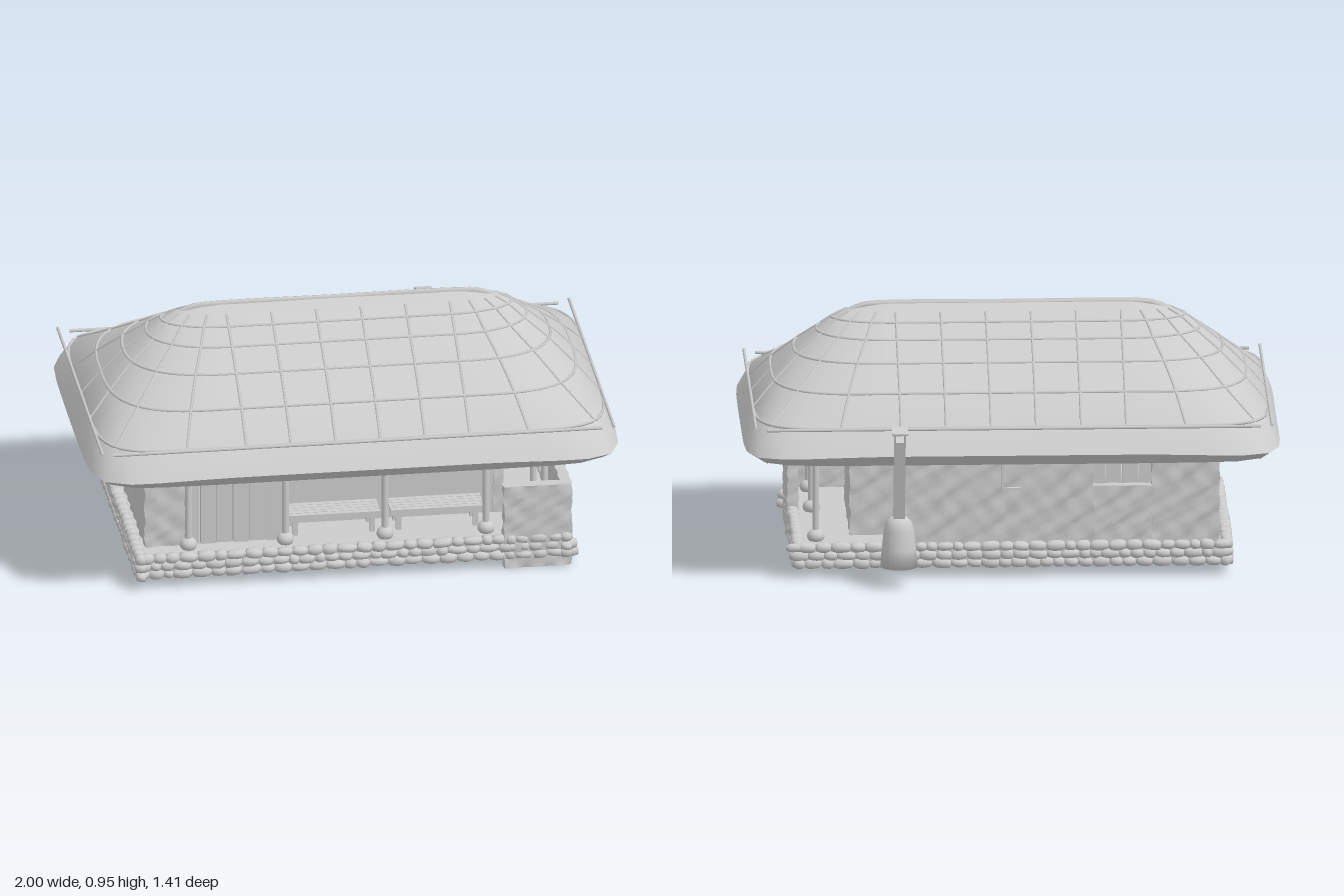
import * as THREE from 'three';
import { mergeGeometries, toCreasedNormals } from 'three/addons/utils/BufferGeometryUtils.js';

const V = (x, y, z) => new THREE.Vector3(x, y, z);
const ZC = 0.045; // z of the ridge and of the platform centre

// Roof levels from ridge to eave, then back up inside:
// [y, half length, half width, corner squareness, sag at the ends]
const LEVELS = [
  [0.935, 0.56, 0.010, 2, 0.015], [0.91, 0.61, 0.055, 2, 0], [0.885, 0.66, 0.11, 2, 0],
  [0.84, 0.715, 0.195, 2.2, 0], [0.78, 0.80, 0.31, 2.5, 0.01], [0.70, 0.885, 0.45, 3.2, 0.015],
  [0.60, 0.96, 0.58, 6, 0], [0.51, 1.0, 0.655, 8, 0.025], [0.465, 0.97, 0.61, 8, -0.005],
  [0.53, 0.90, 0.53, 7, 0], [0.62, 0.84, 0.46, 5, 0], [0.70, 0.77, 0.35, 3.5, 0],
  [0.80, 0.66, 0.20, 2.5, 0], [0.89, 0.52, 0.01, 2, 0],
];
const HALF = 0.42, ARC = 12, RUN = 10;

// One roof level as a loop of points: straight long sides, rounded hip ends
function roofRing([y, a, b, n, sag]) {
  const pts = [];
  const arc = (start) => {
    for (let i = 0; i < ARC; i++) {
      const p = start + (i / ARC) * Math.PI / 2, c = Math.cos(p), s = Math.sin(p);
      const r = Math.pow(Math.abs(c) ** n + Math.abs(s) ** n, -1 / n);
      const side = start === 0 || start > 4 ? 1 : -1;
      pts.push(V(side * HALF + (a - HALF) * r * c, y - sag * c * c, ZC + b * r * s));
    }
  };
  const run = (dir) => {
    for (let i = 0; i < RUN; i++) pts.push(V(dir * HALF * (1 - 2 * i / RUN), y, ZC + dir * b));
  };
  arc(0); run(1); arc(Math.PI / 2); arc(Math.PI); run(-1); arc(Math.PI * 1.5);
  return pts;
}

// Skin over a stack of closed loops
function loft(rings) {
  const n = rings[0].length, pos = [], idx = [];
  rings.forEach((r) => r.forEach((p) => pos.push(p.x, p.y, p.z)));
  for (let j = 0; j < rings.length - 1; j++) for (let i = 0; i < n; i++) {
    const k = (i + 1) % n, a = j * n + i, b = j * n + k;
    idx.push(a, b, a + n, b, b + n, a + n);
  }
  const g = new THREE.BufferGeometry();
  g.setAttribute('position', new THREE.Float32BufferAttribute(pos, 3));
  g.setIndex(idx);
  return toCreasedNormals(g, 0.8);
}

const tube = (pts, r, closed = false, seg = pts.length * 2) =>
  new THREE.TubeGeometry(new THREE.CatmullRomCurve3(pts, closed), seg, r, 5, closed);

// Round pole between two points
function pole(a, b, r, sides = 10) {
  const g = new THREE.CylinderGeometry(r, r, a.distanceTo(b), sides);
  g.applyQuaternion(new THREE.Quaternion().setFromUnitVectors(V(0, 1, 0), b.clone().sub(a).normalize()));
  return g.translate((a.x + b.x) / 2, (a.y + b.y) / 2, (a.z + b.z) / 2);
}

// Box given by its limits
const box = (x0, x1, y0, y1, z0, z1, sx = 1, sy = 1, sz = 1) =>
  new THREE.BoxGeometry(x1 - x0, y1 - y0, z1 - z0, sx, sy, sz)
    .translate((x0 + x1) / 2, (y0 + y1) / 2, (z0 + z1) / 2);

// Box with an uneven plastered surface
function roughBox(x0, x1, y0, y1, z0, z1) {
  const div = (d) => Math.max(1, Math.round(d / 0.02));
  const g = box(x0, x1, y0, y1, z0, z1, div(x1 - x0), div(y1 - y0), div(z1 - z0));
  const p = g.attributes.position;
  for (let i = 0; i < p.count; i++) {
    const x = p.getX(i), y = p.getY(i), z = p.getZ(i);
    const f = Math.sin(x * 71 + 2 * Math.sin(y * 53)) * Math.sin(y * 83 + z * 31) + Math.sin(z * 77 + 2 * Math.sin(y * 61 + x * 40));
    p.setX(i, x + 0.003 * f);
    p.setZ(i, z + 0.003 * Math.sin(x * 67 + 2 * Math.sin(y * 59)) + 0.002 * f);
  }
  g.computeVertexNormals();
  return g;
}

export function createModel() {
  const model = new THREE.Group();
  const mat = new THREE.MeshStandardMaterial({ color: 0xcccccc });
  const add = (name, ...geos) => {
    const mesh = new THREE.Mesh(geos.length > 1 ? mergeGeometries(geos) : geos[0], mat);
    mesh.name = name;
    model.add(mesh);
  };
  let seed = 7;
  const rnd = () => (seed = (seed * 16807) % 2147483647) / 2147483647;

  // Thatched roof shell
  const rings = LEVELS.map(roofRing);
  const count = rings[0].length;
  add('thatchRoof', loft(rings));

  // Pole lattice on the thatch
  const lattice = [2, 3, 4, 5, 6].map((j) => tube(rings[j], 0.006, true));
  for (let i = 0; i < count; i++) {
    const q = i % (count / 2); // hip end quarter, long side, next quarter
    const onHip = q < ARC ? q % 3 === 0 : q >= ARC + RUN && (q - ARC - RUN) % 3 === 0;
    const onSide = q >= ARC && q < ARC + RUN && (q - ARC) % 2 === 0;
    if (onHip || onSide) lattice.push(tube(rings.slice(1, 7).map((r) => r[i]), 0.0055));
  }
  for (const s of [-1, 1]) {
    lattice.push(pole(V(-0.92, 0.597, ZC + s * 0.585), V(0.92, 0.597, ZC + s * 0.585), 0.006, 6));
    lattice.push(pole(V(s * 0.962, 0.605, ZC - 0.6), V(s * 0.962, 0.605, ZC + 0.6), 0.006, 6));
  }
  add('roofLattice', ...lattice);

  // Ridge roll
  add('ridgeCap', tube([V(-0.59, 0.905, ZC), V(-0.54, 0.925, ZC), V(-0.46, 0.931, ZC), V(0, 0.931, ZC),
    V(0.46, 0.931, ZC), V(0.54, 0.925, ZC), V(0.59, 0.905, ZC)], 0.014, false, 40));

  // Rafters and battens under the thatch
  const under = [9, 10, 11, 12].map((j) => tube(rings[j], 0.007, true));
  for (let j = 9; j < 11; j++) for (const t of [0.33, 0.67])
    under.push(tube(rings[j].map((p, i) => p.clone().lerp(rings[j + 1][i], t)), 0.005, true));
  for (let i = 0; i < count; i += 2) under.push(tube(rings.slice(8).map((r) => r[i]), 0.007));
  add('rafters', ...under);

  // Platform edged with three courses of field stones
  add('platform', box(-0.80, 0.80, 0.035, 0.115, -0.42, 0.51));
  const stones = [];
  const stone = (x, y, z, rx, ry, rz) => {
    const g = new THREE.SphereGeometry(1, 9, 6);
    const p = g.attributes.position;
    for (let i = 0; i < p.count; i++) { // squared-off pebble
      const v = V().fromBufferAttribute(p, i);
      const k = Math.pow(v.x ** 4 + v.y ** 4 + v.z ** 4, -0.25) * 0.94;
      p.setXYZ(i, v.x * k, v.y * k, v.z * k);
    }
    g.scale(rx, ry, rz).rotateZ((rnd() - 0.5) * 0.25).rotateX((rnd() - 0.5) * 0.25);
    g.computeVertexNormals();
    stones.push(g.translate(x, y, z));
  };
  for (let row = 0; row < 3; row++) {
    const y = 0.052 + row * 0.031;
    for (const s of [-1, 1]) {
      for (const [len, alongX] of [[0.81, true], [0.47, false]]) {
        for (let t = -len; t < len;) {
          const w = 0.035 + rnd() * 0.04, c = Math.min(t + w / 2, len), r = w / 2 + 0.003;
          const h = 0.016 + rnd() * 0.005, d = 0.021 + rnd() * 0.006;
          if (alongX) stone(c, y, ZC + s * 0.462, r, h, d);
          else stone(s * 0.80, y, ZC + c, d, h, r);
          t += w;
        }
      }
    }
  }
  add('edgeStones', ...stones);

  // Plastered walls, with an inset rear corner and an opening at the back
  const Y0 = 0.11, Y1 = 0.5;
  add('plasterWalls',
    roughBox(-0.77, -0.73, Y0, Y1, -0.40, 0.40),
    roughBox(-0.77, -0.62, Y0, Y1, 0.36, 0.40),
    roughBox(-0.77, -0.52, Y0, Y1, -0.41, -0.37),
    roughBox(-0.52, -0.30, Y0, 0.34, -0.41, -0.37),
    roughBox(-0.30, 0.42, Y0, Y1, -0.41, -0.37),
    roughBox(0.38, 0.42, Y0, Y1, -0.40, -0.21),
    roughBox(0.38, 0.60, Y0, Y1, -0.24, -0.20),
    roughBox(0.56, 0.60, Y0, Y1, -0.23, 0.26));

  // Small framed windows at the side and back
  const frame = [];
  for (const s of [-1, 1]) {
    frame.push(box(0.59, 0.61, 0.33, 0.435, 0.011 + s * 0.037, 0.019 + s * 0.037));
    frame.push(box(0.59, 0.61, 0.379 + s * 0.05, 0.387 + s * 0.05, -0.026, 0.056));
    frame.push(box(-0.004 + s * 0.037, 0.004 + s * 0.037, 0.33, 0.435, -0.42, -0.40));
    frame.push(box(-0.041, 0.041, 0.379 + s * 0.05, 0.387 + s * 0.05, -0.42, -0.40));
  }
  add('windowFrames', ...frame);

  // Timber fronts: projecting plank bay and recessed veranda wall
  const planks = [box(-0.25, 0.58, Y0, Y1, 0.23, 0.255), box(-0.27, -0.25, Y0, Y1, 0.24, 0.395)];
  for (let i = 0; i < 6; i++) {
    const x = -0.62 + i * 0.0615;
    planks.push(box(x, x + 0.058, Y0, Y1, 0.375, 0.392 + (i % 2) * 0.006));
  }
  add('plankWalls', ...planks);

  // Veranda posts on footing stones, with head beams
  const posts = [], footings = [];
  const spots = [[-0.61, 0.43], [-0.245, 0.43], [0.13, 0.43], [0.51, 0.43], [0.73, 0.43], [0.73, 0.13], [0.73, -0.31]];
  for (const [x, z] of spots) {
    posts.push(pole(V(x, 0.11, z), V(x, 0.52, z), 0.013));
    footings.push(new THREE.SphereGeometry(1, 12, 8).scale(0.033, 0.028, 0.033).translate(x, 0.132, z));
  }
  posts.push(pole(V(-0.78, 0.505, 0.43), V(0.78, 0.505, 0.43), 0.014));
  posts.push(pole(V(0.73, 0.505, -0.42), V(0.73, 0.505, 0.48), 0.014));
  posts.push(pole(V(-0.78, 0.505, -0.39), V(0.78, 0.505, -0.39), 0.014));
  posts.push(pole(V(-0.75, 0.505, -0.42), V(-0.75, 0.505, 0.48), 0.014));
  posts.push(pole(V(0.40, 0.505, -0.31), V(0.78, 0.505, -0.31), 0.012));
  add('posts', ...posts);
  add('footings', ...footings);

  // Slatted veranda benches
  const bench = [];
  for (const [x0, x1] of [[-0.23, 0.12], [0.16, 0.51]]) {
    for (let i = 0; i < 5; i++) bench.push(box(x0, x1, 0.188, 0.198, 0.26 + i * 0.024, 0.281 + i * 0.024));
    bench.push(box(x0, x1, 0.172, 0.188, 0.362, 0.372));
    for (const x of [x0 + 0.02, x1 - 0.04]) for (const z of [0.265, 0.352])
      bench.push(box(x, x + 0.02, Y0, 0.19, z, z + 0.02));
  }
  add('benches', ...bench);

  // Low corner screen wall reaching the ground
  add('screenWall', roughBox(0.565, 0.82, 0, 0.33, 0.48, 0.522), roughBox(0.78, 0.82, 0, 0.33, 0.14, 0.50));

  // Clay stove with a leaning square flue and raised cap
  const profile = [[0, 0.08], [0.07, 0.08], [0.064, 0.15], [0.057, 0.22], [0.048, 0.25], [0.032, 0.267], [0, 0.272]];
  add('stove', new THREE.LatheGeometry(profile.map(([r, y]) => new THREE.Vector2(r, y)), 24).translate(0.43, 0, -0.57));
  const flue = [box(-0.021, 0.021, 0, 0.37, -0.021, 0.021), box(-0.03, 0.03, 0.404, 0.412, -0.028, 0.028)];
  for (const x of [-0.018, 0.018]) for (const z of [-0.018, 0.018])
    flue.push(box(x - 0.003, x + 0.003, 0.365, 0.406, z - 0.003, z + 0.003));
  add('flue', ...flue.map((g) => g.rotateX(-0.29).translate(0.43, 0.235, -0.564)));
  return model;
}
